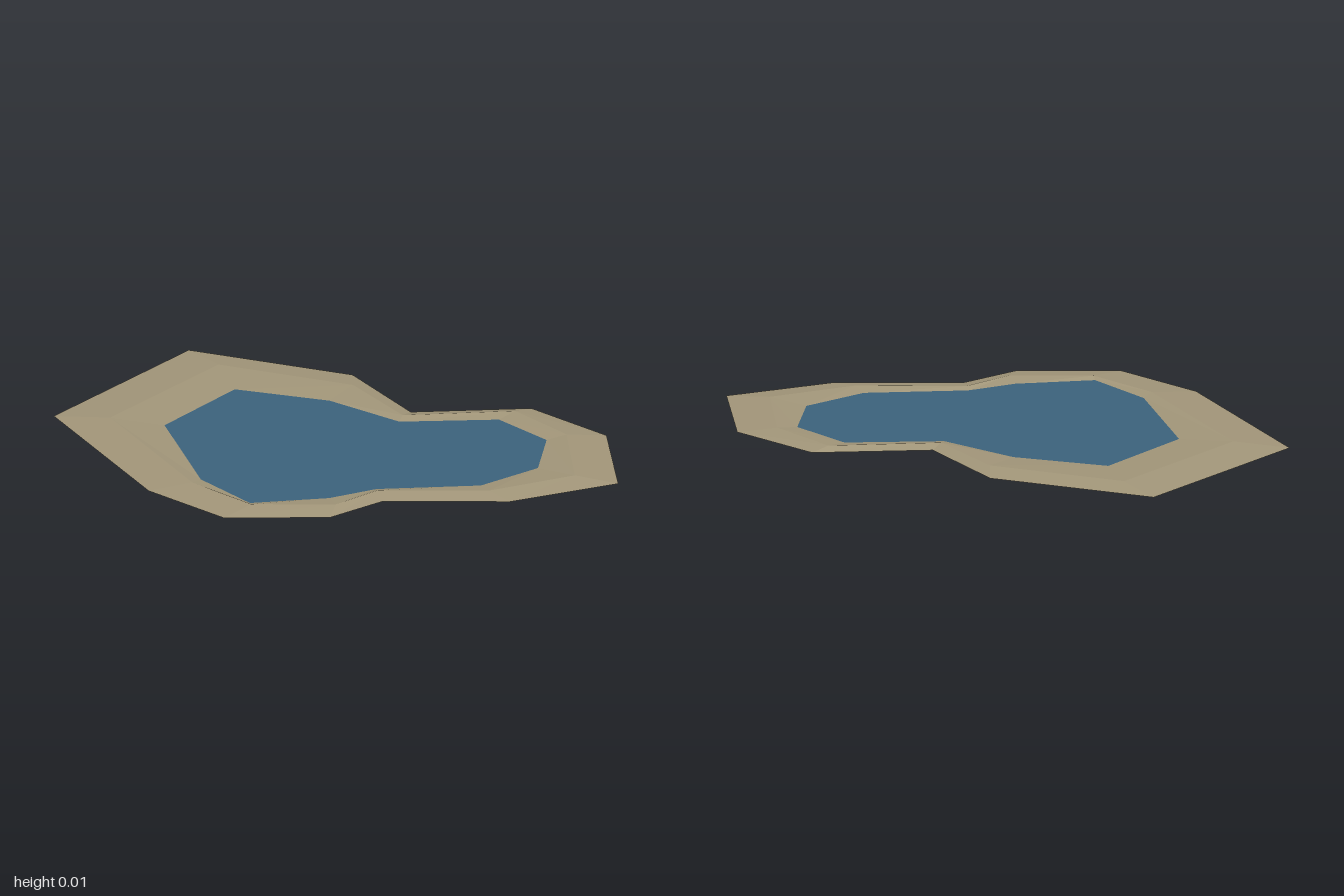
import * as THREE from 'three';

// Matching [x, z] outlines, from the outer foot of the bank in to the water line
const foot = [[-0.39, -0.82], [0.17, -0.48], [0.32, -0.1], [0.77, -0.05], [1, 0.25], [0.96, 0.7],
  [0.53, 0.79], [0.06, 0.7], [-0.16, 0.81], [-0.55, 0.74], [-0.78, 0.44], [-1, -0.31]];
const crest = [[-0.31, -0.64], [0.15, -0.36], [0.28, -0.05], [0.7, -0.01], [0.85, 0.24], [0.81, 0.62],
  [0.47, 0.7], [0.06, 0.62], [-0.12, 0.72], [-0.43, 0.66], [-0.61, 0.42], [-0.8, -0.23]];
const shore = [[-0.29, -0.42], [0.04, -0.25], [0.26, -0.01], [0.63, 0.04], [0.77, 0.26], [0.69, 0.51],
  [0.45, 0.63], [0.06, 0.59], [-0.13, 0.64], [-0.43, 0.63], [-0.57, 0.38], [-0.61, -0.14]];

const CREST_Y = 0.012;
const WATER_Y = 0.004;

// Faceted band joining two outlines at their own heights
function band(outer, outerY, inner, innerY) {
  const n = outer.length;
  const positions = [];
  const index = [];
  outer.forEach(([x, z], i) => {
    positions.push(x, outerY, z, inner[i][0], innerY, inner[i][1]);
    const a = 2 * i, b = 2 * ((i + 1) % n);
    index.push(a, a + 1, b, a + 1, b + 1, b);
  });
  const geometry = new THREE.BufferGeometry();
  geometry.setAttribute('position', new THREE.Float32BufferAttribute(positions, 3));
  geometry.setIndex(index);
  const faceted = geometry.toNonIndexed();
  faceted.computeVertexNormals();
  return faceted;
}

export function createModel() {
  const sand = new THREE.MeshStandardMaterial({ color: 0xa3977a, side: THREE.DoubleSide, flatShading: true });
  sand.name = 'sand';
  const blue = new THREE.MeshStandardMaterial({ color: 0x3c637d, side: THREE.DoubleSide });
  blue.name = 'waterBlue';

  const pond = new THREE.Group();
  pond.name = 'pond';
  const add = (name, geometry, material) => {
    const mesh = new THREE.Mesh(geometry, material);
    mesh.name = name;
    pond.add(mesh);
    return mesh;
  };

  // Sandy bank: gentle outer slope, short inner slope down to the water
  add('outerBank', band(foot, 0, crest, CREST_Y), sand);
  add('innerBank', band(crest, CREST_Y, shore, WATER_Y), sand);

  // Flat water surface
  const outline = new THREE.Shape(shore.map(([x, z]) => new THREE.Vector2(x, -z)));
  const water = new THREE.ShapeGeometry(outline).rotateX(-Math.PI / 2);
  add('water', water, blue).position.y = WATER_Y;

  return pond;
}
